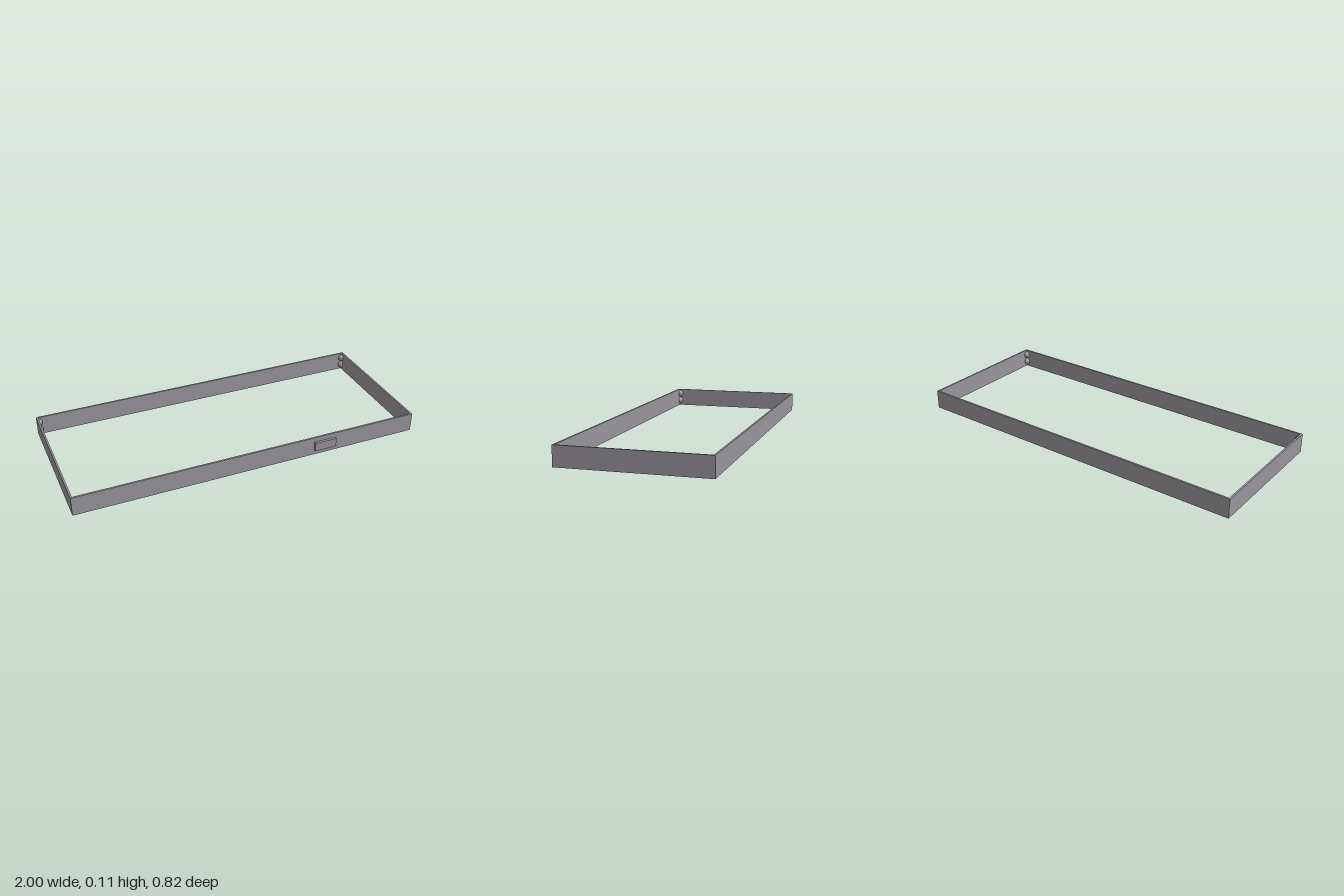
import * as THREE from 'three';

export function createModel() {
  const model = new THREE.Group();
  const grey = new THREE.MeshStandardMaterial({ color: 0x98959b });
  grey.name = 'warm grey';

  const add = (name, geometry, x, y, z) => {
    const mesh = new THREE.Mesh(geometry, grey);
    mesh.name = name;
    mesh.position.set(x, y, z);
    model.add(mesh);
  };

  const height = 0.11, wall = 0.01, back = -0.409, front = 0.395;
  const midZ = (front + back) / 2;

  // Rectangular open frame, extruded upwards
  const rect = (path, x, z) =>
    path.moveTo(-x, -z).lineTo(x, -z).lineTo(x, z).lineTo(-x, z).closePath();
  const halfZ = (front - back) / 2;
  const outline = rect(new THREE.Shape(), 1, halfZ);
  outline.holes.push(rect(new THREE.Path(), 1 - wall, halfZ - wall));
  const frame = new THREE.ExtrudeGeometry(outline, { depth: height, bevelEnabled: false });
  frame.rotateX(-Math.PI / 2);
  add('frame', frame, 0, 0, midZ);

  // Raised plate on the front wall
  add('frontPlate', new THREE.BoxGeometry(0.13, 0.052, 0.014), 0.435, 0.055, front + 0.007);

  // Two quarter-round knobs stacked in each inner corner
  const r = 0.023;
  const corners = [[1, -1], [-1, -1], [-1, 1], [1, 1]];
  corners.forEach(([sx, sz], i) => {
    const knob = new THREE.SphereGeometry(r, 6, 16, i * Math.PI / 2, Math.PI / 2);
    for (const y of [0.031, 0.079]) {
      add('cornerKnob', knob, sx * (1 - wall), y, midZ + sz * (halfZ - wall));
    }
  });

  return model;
}
